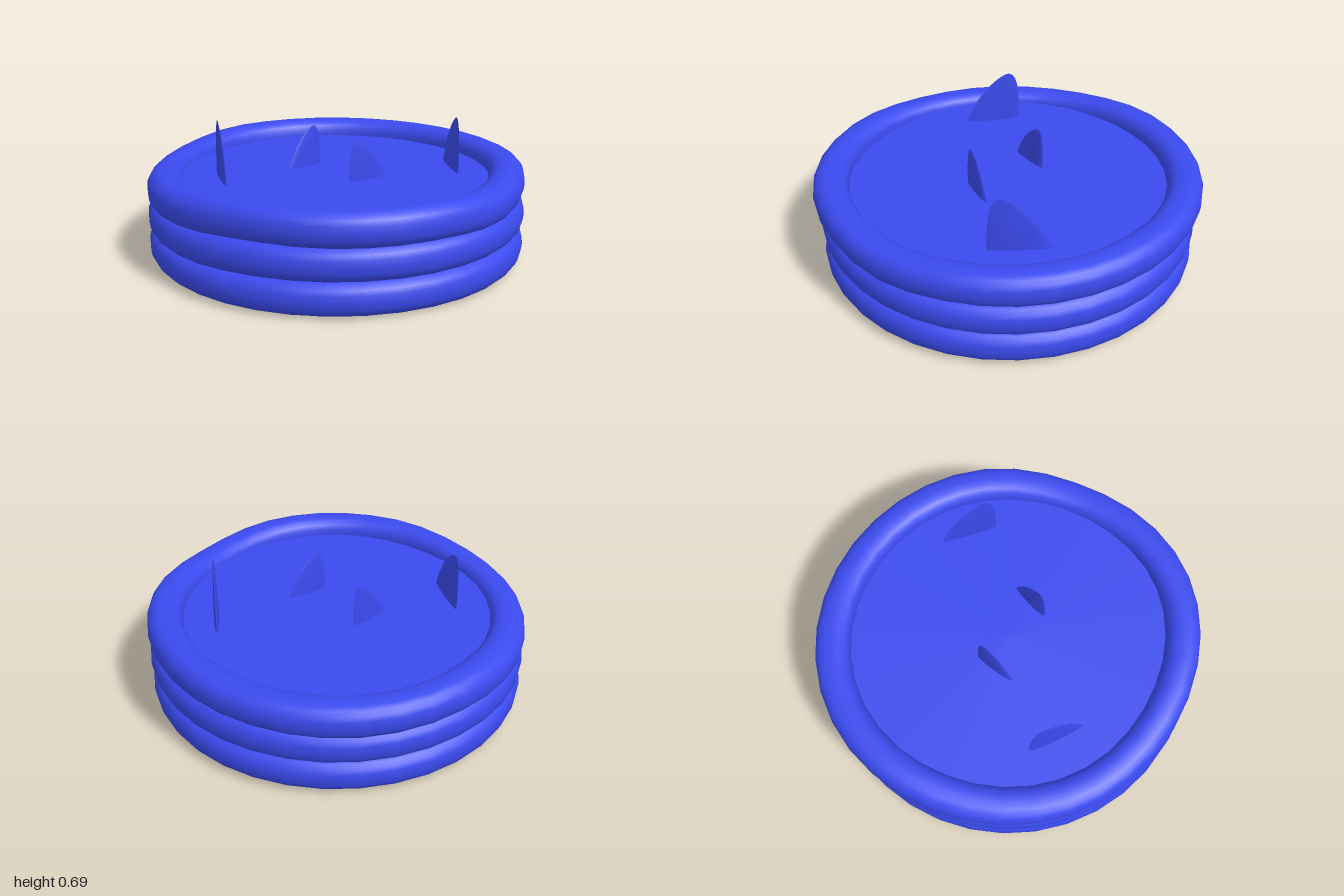
import * as THREE from 'three';
import { toCreasedNormals } from 'three/addons/utils/BufferGeometryUtils.js';

const BLUE = 0x3a4aee;
const SEGMENTS = 36;

function addMesh(parent, name, geometry, side = THREE.FrontSide) {
  const material = new THREE.MeshStandardMaterial({ color: BLUE, side });
  const mesh = new THREE.Mesh(geometry, material);
  mesh.name = name;
  parent.add(mesh);
  return mesh;
}

// Surface over an nu x nv grid, closed in u and optionally closed in v.
function gridSurface(nu, nv, closeV, pointAt) {
  const positions = [], indices = [];
  for (let i = 0; i < nu; i++)
    for (let k = 0; k < nv; k++) positions.push(...pointAt(i, k));
  for (let i = 0; i < nu; i++) {
    for (let k = 0; k < (closeV ? nv : nv - 1); k++) {
      const i2 = (i + 1) % nu, k2 = (k + 1) % nv;
      const a = i * nv + k, b = i2 * nv + k, c = i2 * nv + k2, d = i * nv + k2;
      indices.push(a, b, c, a, c, d);
    }
  }
  const geometry = new THREE.BufferGeometry();
  geometry.setAttribute('position', new THREE.Float32BufferAttribute(positions, 3));
  geometry.setIndex(indices);
  geometry.computeVertexNormals();
  return geometry;
}

// Slightly egg-shaped outline of the top tube, narrower towards the front
function eggPlan(radius, angle) {
  const s = Math.sin(angle), c = Math.cos(angle);
  const narrowing = 1 - 0.05 * Math.max(0, c) ** 2;
  return [radius * s * narrowing, (radius + 0.03 * c * c) * c];
}
const roundPlan = (radius, angle) => [radius * Math.sin(angle), radius * Math.cos(angle)];

// Sag of the soft tubes on the right-hand side, and a dent at the front left
const sag = (x) => THREE.MathUtils.smoothstep(-x, 0.45, 1);
const dent = (x, z) => Math.exp(-((x - 0.65) ** 2 + (z - 0.6) ** 2) / 0.09);

function tubeGeometry(y, plan, sagDepth, dentDepth) {
  const sides = 20;
  const soft = (v) => Math.sign(v) * Math.abs(v) ** 0.85;
  return gridSurface(SEGMENTS, sides, true, (i, k) => {
    const angle = (i / SEGMENTS) * Math.PI * 2, phi = (k / sides) * Math.PI * 2;
    const [x, z] = plan(0.878 + 0.09 * soft(Math.cos(phi)), angle);
    const drop = sagDepth * sag(x) + dentDepth * dent(x, z);
    return [x, y + 0.086 * soft(Math.sin(phi)) - drop, z];
  });
}

function discGeometry(plan, y, facing) {
  const disc = new THREE.CircleGeometry(1, SEGMENTS);
  disc.rotateX(-facing * Math.PI / 2);
  const p = disc.attributes.position;
  for (let i = 0; i < p.count; i++) {
    const r = Math.hypot(p.getX(i), p.getZ(i));
    const [x, z] = r < 0.01 ? [0, 0] : plan(0.86, Math.atan2(p.getX(i), p.getZ(i)));
    p.setXYZ(i, x, y, z);
  }
  return disc;
}

// Fin levels: height, upright edge and sloping edge as fractions
const FIN_LEVELS = [
  [0, 0, 1], [0.25, 0, 0.89], [0.5, 0.01, 0.76], [0.75, 0.04, 0.57],
  [0.89, 0.08, 0.42], [0.97, 0.13, 0.3], [1, 0.19, 0.23],
];

function finGeometry(length, height) {
  const around = 16;
  const fin = gridSurface(around, FIN_LEVELS.length, false, (i, k) => {
    const [h, lead, trail] = FIN_LEVELS[k];
    const angle = (i / around) * Math.PI * 2;
    const u = lead + (trail - lead) * (1 - Math.cos(angle)) / 2;
    const thickness = 0.013 * (1 - h ** 2);
    return [u * length, h * height, Math.sin(angle) * thickness];
  });
  return toCreasedNormals(fin, 0.7);
}

export function createModel() {
  const model = new THREE.Group();
  model.name = 'paddlingPool';

  // Three stacked inflated tubes
  addMesh(model, 'bottomTube', tubeGeometry(0.086, roundPlan, 0, 0));
  addMesh(model, 'middleTube', tubeGeometry(0.246, roundPlan, 0.017, 0));
  addMesh(model, 'topTube', tubeGeometry(0.41, eggPlan, 0.045, 0.028));

  // Floor and water
  addMesh(model, 'floor', discGeometry(roundPlan, 0.085, -1), THREE.DoubleSide);
  const waterLevel = 0.41;
  addMesh(model, 'water', discGeometry(eggPlan, waterLevel, 1), THREE.DoubleSide);

  // Fins: upright end x, z, sloping end x, z, height
  const fins = [
    [0.617, 0.13, 0.617, -0.175, 0.28],
    [-0.612, -0.095, -0.57, 0.205, 0.28],
    [-0.063, -0.185, -0.24, -0.063, 0.21],
    [0.04, 0.207, 0.237, 0.12, 0.21],
  ];
  fins.forEach(([x0, z0, x1, z1, height], i) => {
    const length = Math.hypot(x1 - x0, z1 - z0);
    const fin = addMesh(model, `fin${i + 1}`, finGeometry(length, height), THREE.DoubleSide);
    fin.position.set(x0, waterLevel, z0);
    fin.rotation.y = Math.atan2(z0 - z1, x1 - x0);
  });
  return model;
}
